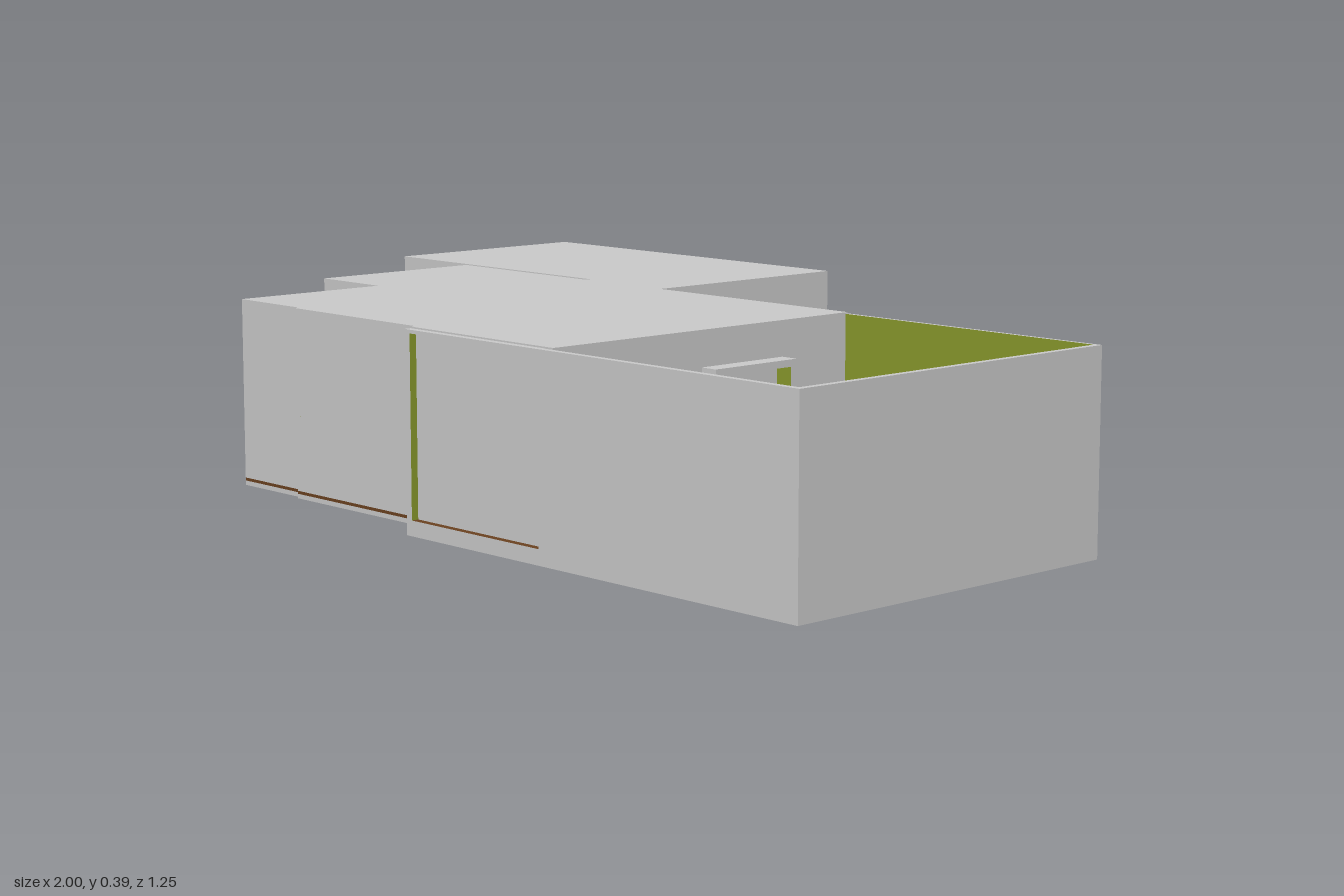
import * as THREE from 'three';

const grey = new THREE.MeshStandardMaterial({ color: 0xcccccc });
const green = new THREE.MeshStandardMaterial({ color: 0x8a9a2c });
const brown = new THREE.MeshStandardMaterial({ color: 0x6b4220 });

// Side names in the order BoxGeometry stores its six faces
const SIDES = ['+x', '-x', '+y', '-y', '+z', '-z'];

export function createModel() {
  const model = new THREE.Group();

  // Box given by its limits; `paint` colours single faces
  function block(name, [x0, x1], [y0, y1], [z0, z1], paint = {}) {
    const geometry = new THREE.BoxGeometry(x1 - x0, y1 - y0, z1 - z0);
    const mesh = new THREE.Mesh(geometry, SIDES.map((s) => paint[s] || grey));
    mesh.position.set((x0 + x1) / 2, (y0 + y1) / 2, (z0 + z1) / 2);
    mesh.name = name;
    model.add(mesh);
    return mesh;
  }

  // Flat plate over a plan outline of [x, z] points
  function plate(name, outline, y0, y1, material) {
    const shape = new THREE.Shape(outline.map(([x, z]) => new THREE.Vector2(x, z)));
    const geometry = new THREE.ExtrudeGeometry(shape, { depth: y1 - y0, bevelEnabled: false });
    geometry.rotateX(Math.PI / 2);
    const mesh = new THREE.Mesh(geometry, material);
    mesh.position.y = y1;
    mesh.name = name;
    model.add(mesh);
  }

  // Main house: stepped plan, walls along every edge except the open end
  const plan = [
    [-0.765, -0.137], [0.385, -0.137], [0.385, 0.61], [-0.015, 0.61], [-0.015, 0.6],
    [-0.39, 0.6], [-0.39, 0.59], [-0.58, 0.59], [-0.58, 0.25], [-0.765, 0.25],
  ];
  plate('houseBase', plan, 0.015, 0.024, grey);
  plate('houseFloor', plan, 0.024, 0.03, brown);
  plate('houseRoof', plan, 0.38, 0.39, grey);

  const t = 0.012;
  for (let i = 0; i < plan.length - 1; i++) {
    const [ax, az] = plan[i];
    const [bx, bz] = plan[i + 1];
    const nx = -Math.sign(bz - az); // inward direction
    const nz = Math.sign(bx - ax);
    const xs = [ax, bx, ax + nx * t, bx + nx * t];
    const zs = [az, bz, az + nz * t, bz + nz * t];
    const inside = nx ? (nx > 0 ? '+x' : '-x') : (nz > 0 ? '+z' : '-z');
    block('houseWall', [Math.min(...xs), Math.max(...xs)], [0.03, 0.38],
      [Math.min(...zs), Math.max(...zs)], { [inside]: green });
  }
  block('partition', [-0.015, -0.005], [0.03, 0.38], [-0.125, 0.588], { '-x': green, '+x': green });

  // Back room, its link to the house and the sill in the gap
  block('backRoom', [-1, -0.14], [0.015, 0.39], [-0.63, -0.15]);
  block('roomLink', [-0.37, -0.14], [0.015, 0.39], [-0.15, -0.137]);
  block('gapSill', [-0.65, -0.37], [0.015, 0.03], [-0.15, -0.137], { '+y': brown });

  // Narrow passage floor with an end strip
  block('passageFloor', [-0.14, -0.015], [0.015, 0.03], [-0.512, -0.137], { '+y': brown });
  block('passageEdge', [-0.14, 0.005], [0.015, 0.03], [-0.525, -0.512]);

  // Terrace slabs outside and inside the courtyard
  block('backTerrace', [-0.015, 0.63], [0.028, 0.04], [-0.512, -0.14], { '-y': brown });
  block('courtTerrace', [0.385, 0.63], [0.028, 0.04], [-0.13, 0.247], { '-y': brown });

  // Courtyard walls, green on the inside
  const tall = [0, 0.387];
  block('courtBackWall', [0.37, 1], tall, [-0.14, -0.132], { '+z': green });
  block('courtSideWall', [0.987, 1], tall, [-0.132, 0.612], { '-x': green });
  block('courtFrontWall', [0.36, 1], tall, [0.612, 0.625], { '-z': green, '-x': green });

  // Surround of the front opening
  block('frontJamb', [-0.015, 0], tall, [0.61, 0.625], { '+x': green });
  block('frontLintel', [0, 0.36], [0.38, 0.387], [0.61, 0.625], { '-y': green });
  block('frontSill', [0, 0.36], [0, 0.03], [0.61, 0.625], { '+y': brown });

  // Projecting window frame: w wide, d deep, green reveals, facing +z before turning
  function windowFrame(name, w, d, x, z, turn) {
    const frame = new THREE.Group();
    const h = 0.205;
    const b = 0.014;
    const bars = [
      [b, h, -(w - b) / 2, 0, '+x'], [b, h, (w - b) / 2, 0, '-x'],
      [w - 2 * b, b, 0, (h - b) / 2, '-y'], [w - 2 * b, b, 0, -(h - b) / 2, '+y'],
    ];
    for (const [bw, bh, bx, by, inner] of bars) {
      const bar = new THREE.Mesh(new THREE.BoxGeometry(bw, bh, d),
        SIDES.map((s) => (s === inner ? green : grey)));
      bar.position.set(bx, by, d / 2);
      frame.add(bar);
    }
    frame.name = name;
    frame.position.set(x, 0.218, z);
    frame.rotation.y = turn;
    model.add(frame);
  }
  windowFrame('backWindow', 0.215, 0.021, 0.093, -0.137, Math.PI);
  windowFrame('courtWindow', 0.21, 0.037, 0.385, 0.145, Math.PI / 2);

  return model;
}
